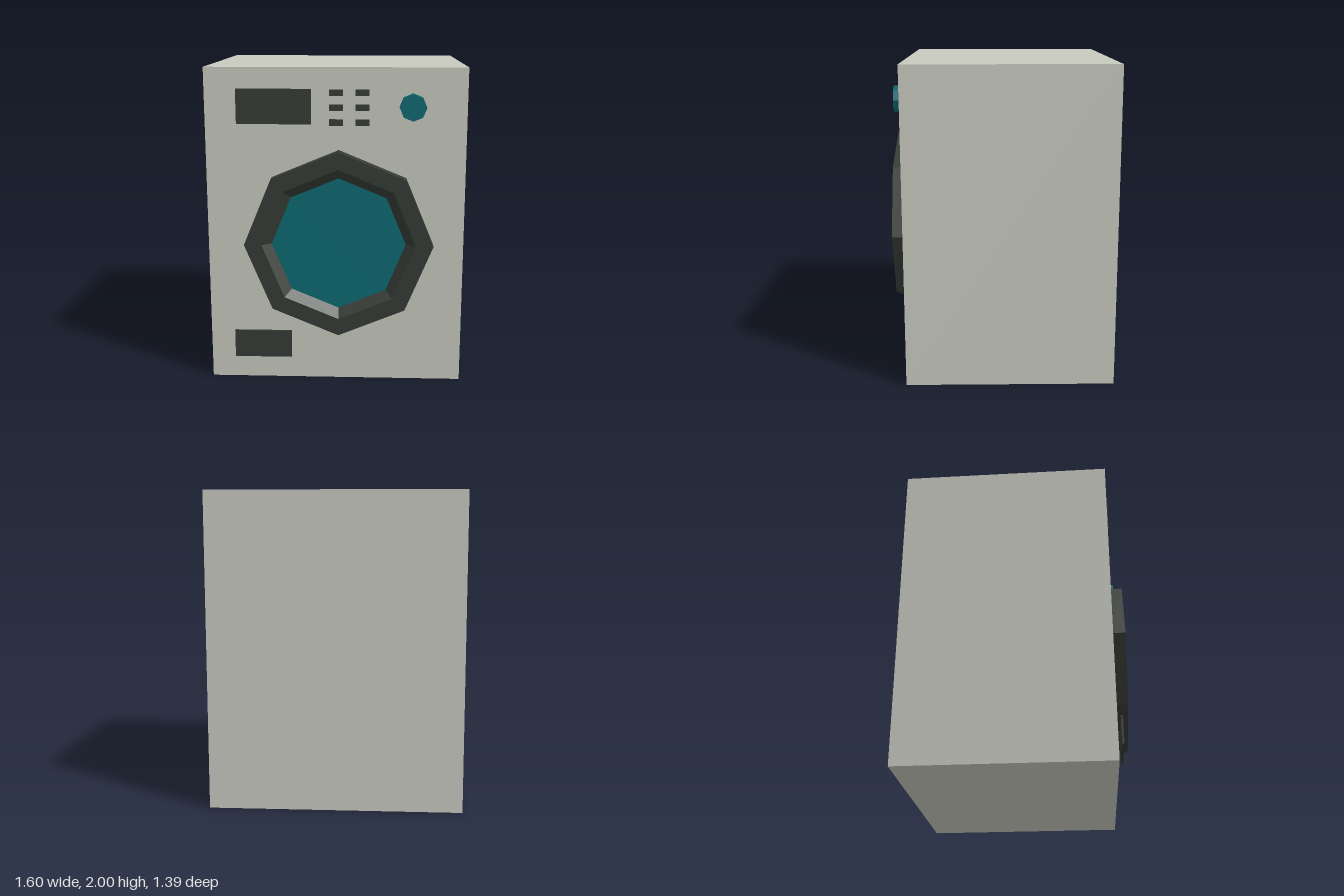
import * as THREE from 'three';

const FRONT = 0.611; // z of the cabinet's front face

function mat(name, color) {
  const m = new THREE.MeshStandardMaterial({ color });
  m.name = name;
  return m;
}

// Faceted copy of a geometry
function faceted(geometry) {
  const g = geometry.toNonIndexed();
  g.computeVertexNormals();
  return g;
}

export function createModel() {
  const model = new THREE.Group();
  model.name = 'washingMachine';
  const enamel = mat('enamel', 0xc7c9bf);
  const charcoal = mat('charcoal', 0x353b35);
  const teal = mat('teal', 0x0d6872);

  function add(name, geometry, material, x, y, z) {
    const mesh = new THREE.Mesh(geometry, material);
    mesh.name = name;
    mesh.position.set(x, y, z);
    model.add(mesh);
    return mesh;
  }
  // Box given by its front rectangle and z range
  function plate(name, x0, x1, y0, y1, z0, z1, material) {
    const g = new THREE.BoxGeometry(x1 - x0, y1 - y0, z1 - z0);
    return add(name, g, material, (x0 + x1) / 2, (y0 + y1) / 2, (z0 + z1) / 2);
  }

  // Cabinet
  plate('cabinet', -0.8, 0.8, 0, 2, -0.697, FRONT, enamel);

  // Octagonal door ring with a sloping inner lip
  const profile = [[0.587, 0], [0.587, 0.086], [0.478, 0.086], [0.418, 0.04]]
    .map(([r, h]) => new THREE.Vector2(r, h));
  const ring = add('doorRing', faceted(new THREE.LatheGeometry(profile, 8)), charcoal, 0.022, 0.911, FRONT);
  ring.rotation.x = Math.PI / 2;

  // Door glass
  const glass = new THREE.CircleGeometry(0.419, 8);
  add('doorGlass', glass, teal, 0.022, 0.911, FRONT + 0.04);

  // Programme knob
  const knob = add('knob', faceted(new THREE.CylinderGeometry(0.082, 0.082, 0.061, 8)),
    teal, 0.471, 1.764, FRONT + 0.0305);
  knob.rotation.x = Math.PI / 2;

  // Display and filter cover
  plate('display', -0.606, -0.147, 1.656, 1.87, FRONT, 0.623, charcoal);
  plate('filterCover', -0.643, -0.279, 0.152, 0.33, 0.636, 0.65, charcoal);

  // Buttons, two columns of three
  for (const x of [0.007, 0.166]) {
    for (const y of [1.67, 1.76, 1.85]) {
      plate('button', x - 0.042, x + 0.042, y - 0.02, y + 0.02, 0.636, 0.641, charcoal);
    }
  }
  return model;
}
